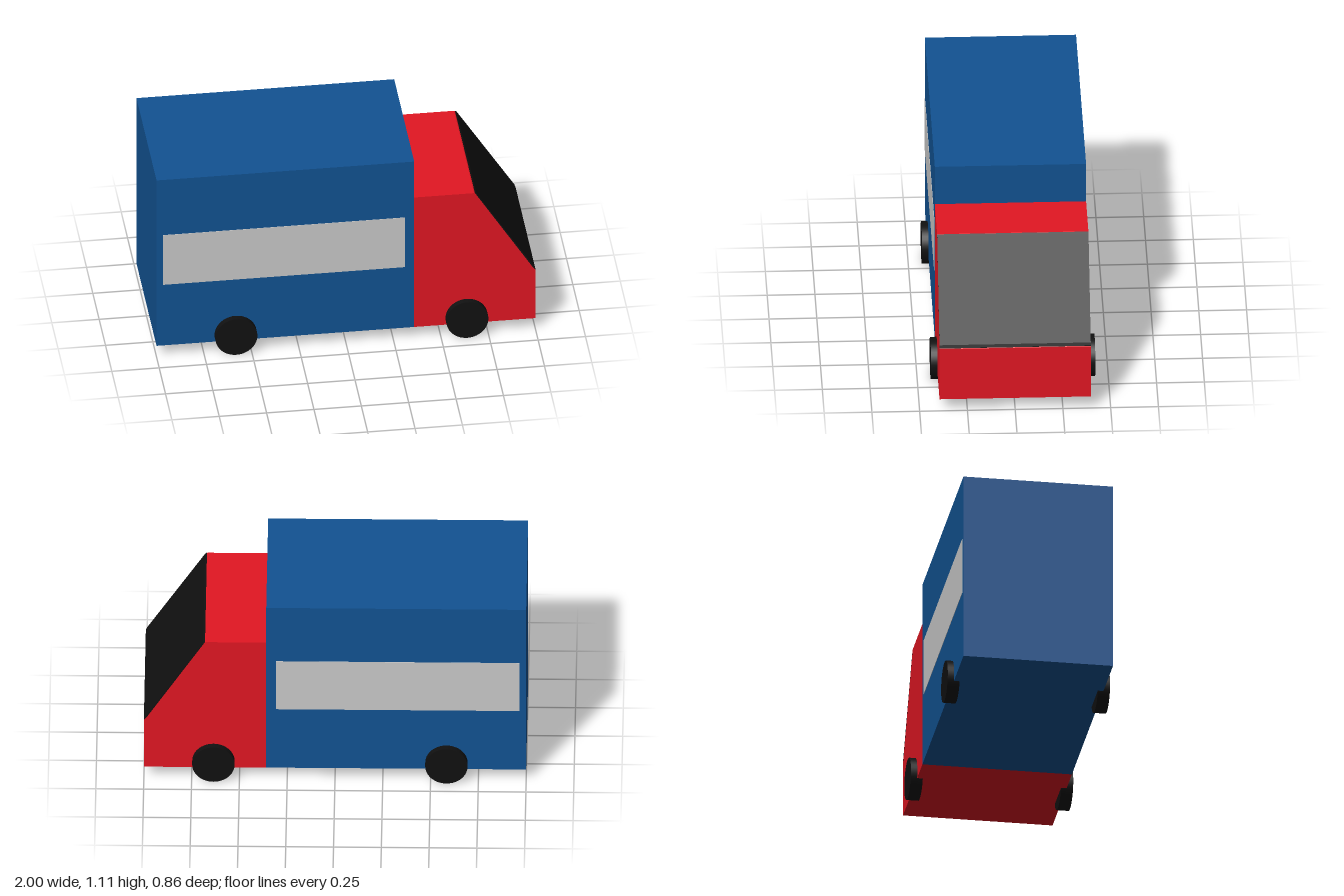
import * as THREE from 'three';

const paint = (color) => new THREE.MeshStandardMaterial({ color });
const HALF = 0.396; // half width of the body

export function createModel() {
  const truck = new THREE.Group();
  truck.name = 'boxTruck';
  const blue = paint(0x125393), red = paint(0xe31723), black = paint(0x111111), grey = paint(0xcccccc);

  const add = (name, geometry, material, x = 0, y = 0, z = 0) => {
    const mesh = new THREE.Mesh(geometry, material);
    mesh.name = name;
    mesh.position.set(x, y, z);
    truck.add(mesh);
    return mesh;
  };
  // Side profile in x/y, extruded across the full width
  const acrossWidth = (points) => {
    const shape = new THREE.Shape(points.map(([x, y]) => new THREE.Vector2(x, y)));
    return new THREE.ExtrudeGeometry(shape, { depth: HALF * 2, bevelEnabled: false }).translate(0, 0, -HALF);
  };

  // Cargo box
  add('cargoBox', new THREE.BoxGeometry(1.36, 1.035, HALF * 2), blue, -0.32, 0.5875, 0);

  // Cab with sloping front, and the thin windscreen laid on the slope
  add('cab', acrossWidth([[0.36, 0.07], [1, 0.07], [1, 0.372], [0.987, 0.388], [0.683, 0.876], [0.676, 0.88], [0.36, 0.88]]), red);
  add('windscreen', acrossWidth([[0.987, 0.388], [0.998, 0.374], [1, 0.376], [0.994, 0.392], [0.69, 0.873], [0.68, 0.881], [0.683, 0.876]]), black);

  for (const side of [1, -1]) {
    const label = side > 0 ? 'Front' : 'Back';
    // Grey side panel
    add('sidePanel' + label, new THREE.BoxGeometry(1.275, 0.31, 0.006), grey, -0.3275, 0.605, side * (HALF - 0.001));
    // Wheels
    for (const [axle, x] of [['rear', -0.583], ['fore', 0.636]]) {
      const wheel = new THREE.CylinderGeometry(0.111, 0.111, 0.064, 40).rotateX(Math.PI / 2);
      add(axle + 'Wheel' + label, wheel, black, x, 0.111, side * 0.398);
    }
  }
  return truck;
}
